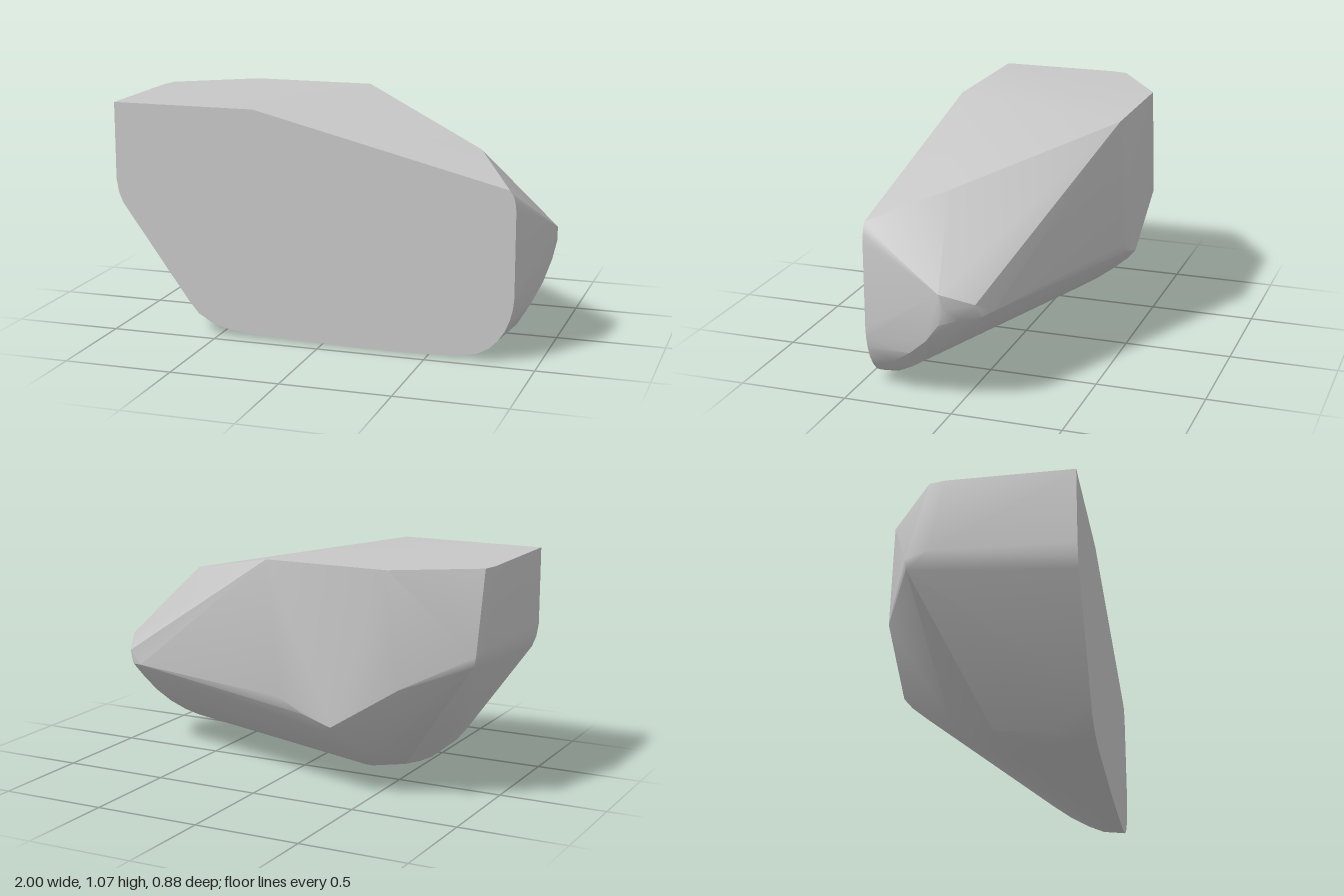
import * as THREE from 'three';
import { ConvexGeometry } from 'three/addons/geometries/ConvexGeometry.js';
import { toCreasedNormals } from 'three/addons/utils/BufferGeometryUtils.js';

const FRONT = 0.44, BACK = -0.44, TOP = 1.07;

// point on the curved underside: the bands drift forward towards the right
const underside = (x, b) => [x, 0.66 * (0.27 - b) ** 2, b + 0.34 * (x + 0.34)];

export function createModel() {
  const points = [];
  const add = (...list) => list.forEach(p => points.push(new THREE.Vector3(...p)));

  // flat front face, outlined in x and y
  [[-1, TOP], [-0.32, TOP], [0.86, 0.78], [0.875, 0.76], [0.885, 0.73], [0.89, 0.69], [0.89, 0.3],
    [0.885, 0.25], [0.873, 0.2], [0.85, 0.145], [0.82, 0.1], [0.78, 0.06], [0.73, 0.033], [0.65, 0.015],
    [0.4, 0.005], [0.15, 0.004], [-0.36, 0.022], [-0.45, 0.032], [-0.53, 0.055], [-0.6, 0.095],
    [-0.65, 0.155], [-0.97, 0.6], [-0.99, 0.65], [-1, 0.71],
  ].forEach(([x, y]) => add([x, y, FRONT]));

  // flat top and the slope towards the right
  add([-1, TOP, -0.13], [-0.985, TOP, -0.205], [-0.63, TOP, BACK], [-0.04, TOP, BACK], [0.66, 0.89, 0.13]);

  // upright back face and the chamfer on the left
  add([-0.1, 0.45, BACK], [-0.22, 0.385, BACK], [-0.36, 0.34, BACK], [-0.69, 0.55, BACK],
    [-0.98, 0.655, -0.3], [-0.99, 0.7, -0.305], [-1, 0.73, -0.2]);

  // rounded tip and bulge on the right
  add([0.93, 0.485, -0.09], [0.84, 0.43, -0.14], [1, 0.54, 0.05], [0.995, 0.47, 0.03], [0.96, 0.42, -0.03],
    [0.98, 0.39, 0.06], [0.955, 0.3, 0.13], [0.92, 0.22, 0.22], [0.88, 0.15, 0.32]);

  // curved underside: right rim, left rim, and the rounding beyond the left rim
  [[0.8, -0.06], [0.83, -0.15], [0.86, -0.25], [0.88, -0.35], [0.89, -0.45], [0.9, -0.53],
  ].forEach(([x, b]) => add(underside(x, b)));
  for (let b = 0.27; b > -0.42; b -= 0.075) add(underside(-0.34, b));
  add([0.1, 0, 0.42], [-0.42, 0.006, 0.25], [-0.49, 0.022, 0.25], [-0.55, 0.05, 0.25],
    [-0.53, 0.08, 0], [-0.48, 0.16, -0.2], [-0.42, 0.25, -0.34]);

  const material = new THREE.MeshStandardMaterial({ color: 0xc7c7c7 });
  material.name = 'stone grey';
  const block = new THREE.Mesh(toCreasedNormals(new ConvexGeometry(points), 0.6), material);
  block.name = 'facetedBlock';

  const group = new THREE.Group();
  group.name = 'facetedStone';
  group.add(block);
  return group;
}
